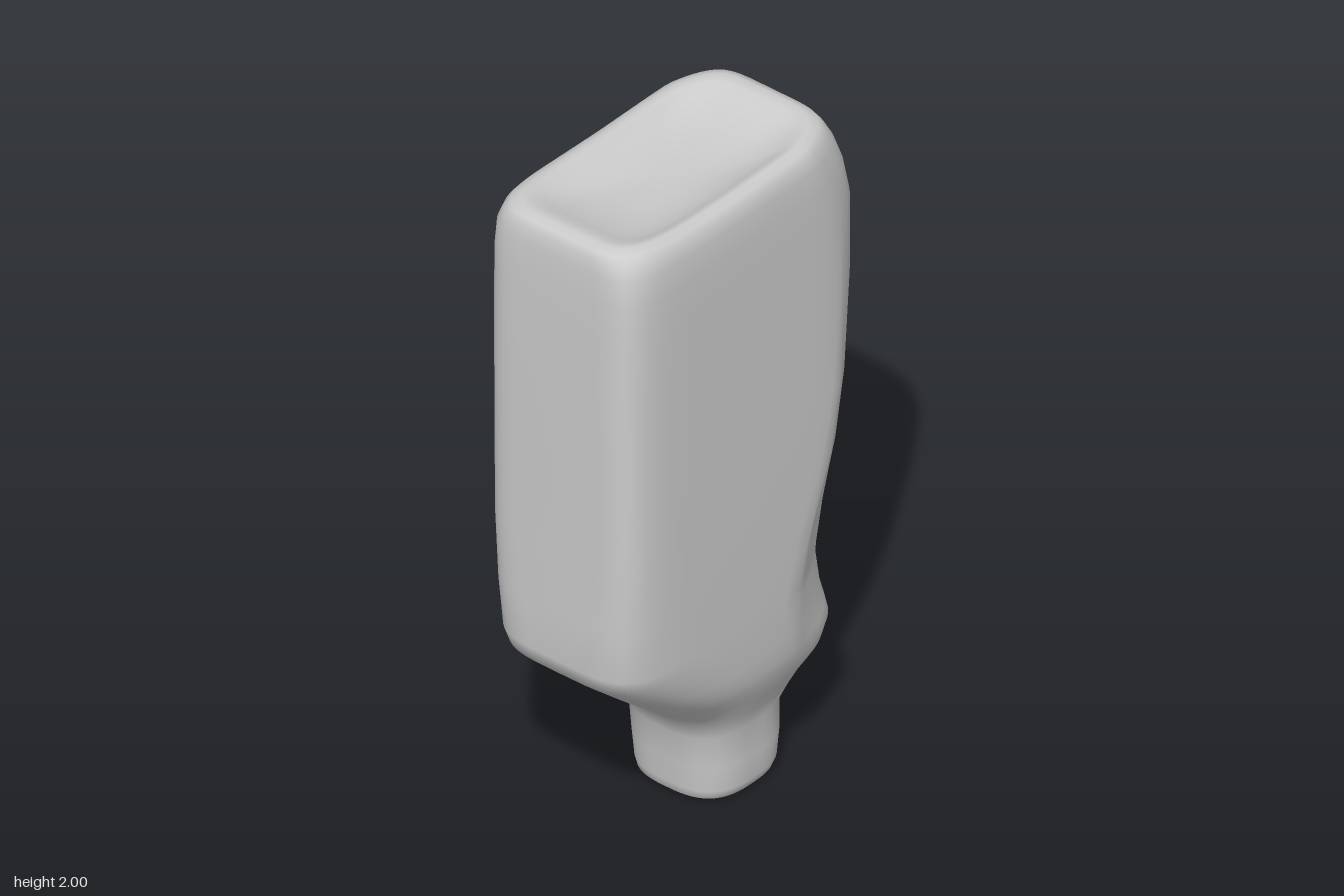
import * as THREE from 'three';

const { smoothstep } = THREE.MathUtils;
const SEGMENTS = 72;

// Bottle outline from neck to base: [y, xMin, xMax, half depth]
const SECTIONS = [
  [0.01, -0.03, 0.25, 0.15],
  [0.015, -0.04, 0.275, 0.162],
  [0.04, -0.045, 0.285, 0.17],
  [0.12, -0.053, 0.293, 0.175],
  [0.22, -0.066, 0.295, 0.175],
  [0.28, -0.095, 0.335, 0.198],
  [0.32, -0.135, 0.385, 0.214],
  [0.355, -0.175, 0.455, 0.23],
  [0.4, -0.23, 0.477, 0.246],
  [0.44, -0.28, 0.465, 0.255],
  [0.5, -0.35, 0.447, 0.262],
  [0.6, -0.465, 0.43, 0.265],
  [0.65, -0.48, 0.426, 0.266],
  [0.8, -0.481, 0.437, 0.267],
  [1.0, -0.481, 0.461, 0.268],
  [1.2, -0.482, 0.474, 0.268],
  [1.5, -0.484, 0.481, 0.268],
  [1.74, -0.484, 0.481, 0.268],
  [1.85, -0.483, 0.455, 0.267],
  [1.93, -0.48, 0.425, 0.262],
  [1.97, -0.473, 0.408, 0.252],
  [1.99, -0.462, 0.395, 0.238],
  [2.0, -0.44, 0.37, 0.216],
];

const signedPower = (v, p) => Math.sign(v) * Math.abs(v) ** p;

// One closed loop: a rounded rectangle whose +x end narrows into the grip
function sectionLoop([y, x0, x1, depth], scale = 1, height = y) {
  const squareness = 2.8 + 4.2 * smoothstep(y, 0.25, 1.1) - 1.5 * smoothstep(y, 1.9, 2);
  const taper = 0.36 * smoothstep(y, 0.22, 0.6) - 0.24 * smoothstep(y, 0.65, 1.6);
  const taperStart = 0.18 + 0.17 * smoothstep(y, 0.6, 1.2) - 0.1 * smoothstep(y, 1.6, 2);
  const cx = (x0 + x1) / 2, half = (x1 - x0) / 2, loop = [];
  for (let i = 0; i < SEGMENTS; i++) {
    const a = (i / SEGMENTS) * Math.PI * 2;
    const x = cx + half * signedPower(Math.cos(a), 2 / squareness);
    const t = Math.max(0, (x - taperStart) / (x1 - taperStart));
    const z = depth * signedPower(Math.sin(a), 2 / squareness) * (1 - taper * t);
    loop.push([cx + (x - cx) * scale, height, z * scale]);
  }
  return loop;
}

// Join loops, listed from bottom to top, into one smooth closed skin
function loft(loops) {
  const index = [];
  for (let r = 0; r < loops.length - 1; r++) {
    for (let i = 0; i < SEGMENTS; i++) {
      const a = r * SEGMENTS + i, b = r * SEGMENTS + (i + 1) % SEGMENTS;
      index.push(a, a + SEGMENTS, b, b, a + SEGMENTS, b + SEGMENTS);
    }
  }
  const geometry = new THREE.BufferGeometry();
  geometry.setAttribute('position', new THREE.Float32BufferAttribute(loops.flat(2), 3));
  geometry.setIndex(index);
  geometry.computeVertexNormals();
  return geometry;
}

export function createModel() {
  const group = new THREE.Group();
  group.name = 'bottle';
  const loops = [];

  // Closed end of the neck
  for (const s of [0.001, 0.4, 0.8]) loops.push(sectionLoop(SECTIONS[0], s, 0.01 * s));

  // Neck, sloping shoulders and body with the grip
  for (const section of SECTIONS) loops.push(sectionLoop(section));

  // Shallow dish in the broad base, which is uppermost
  for (const s of [0.93, 0.85, 0.75, 0.6, 0.4, 0.2, 0.001]) {
    const height = 1.945 + 0.055 * Math.min(1, s / 0.95) ** 3;
    loops.push(sectionLoop(SECTIONS.at(-1), s, height));
  }

  // Long edges of the rim sag a little towards the middle
  for (const p of loops.flat()) {
    if (p[1] > 1.9) p[1] -= 0.14 * (p[1] - 1.9) * Math.max(0, 1 - (p[0] / 0.38) ** 2);
  }

  const body = new THREE.Mesh(loft(loops), new THREE.MeshStandardMaterial({ color: 0xcccccc }));
  body.name = 'bottleBody';
  group.add(body);
  return group;
}
